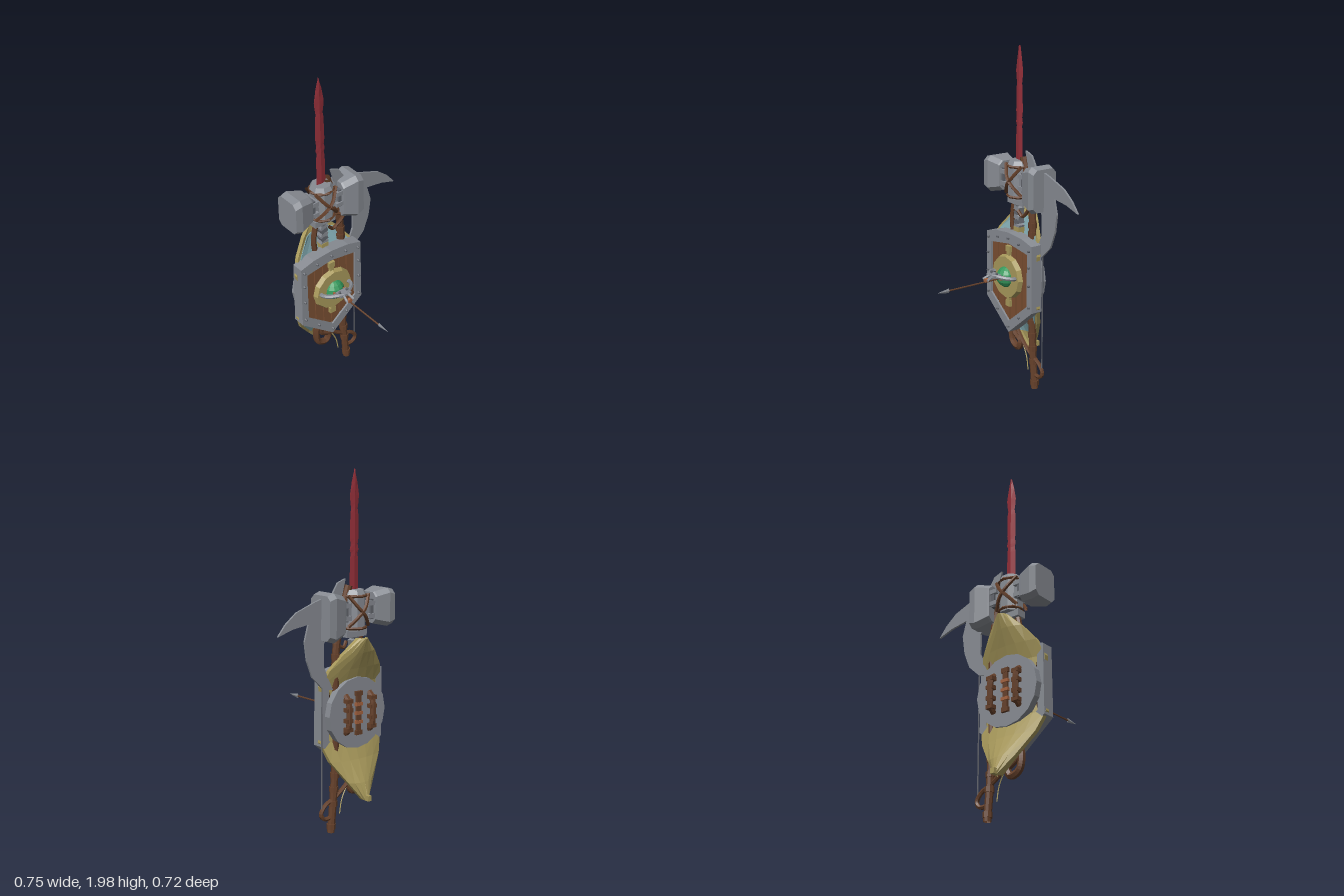
import * as THREE from 'three';

const CX = -0.147, CZ = -0.21;          // main axis of the weapon stack
const V = (x, y, z) => new THREE.Vector3(x, y, z);
const mat = (name, color) => {
  const m = new THREE.MeshStandardMaterial({ color, flatShading: true, side: THREE.DoubleSide });
  m.name = name;
  return m;
};

export function createModel() {
  const root = new THREE.Group();
  const M = {
    steel: mat('steel', 0x888c93), iron: mat('dark iron', 0x62656c), gold: mat('old gold', 0xa99a5c),
    blue: mat('pale blue', 0x80a8af), green: mat('green gem', 0x35985c), red: mat('red blade', 0x96303a),
    leather: mat('leather', 0x65402a), wood: mat('wood', 0x7b4f32), dark: mat('dark wood', 0x3f291c),
    copper: mat('copper', 0xa4623f),
  };
  const add = (name, geo, m, x = 0, y = 0, z = 0, parent = root) => {
    const mesh = new THREE.Mesh(geo, m);
    mesh.name = name;
    mesh.position.set(x, y, z);
    parent.add(mesh);
    return mesh;
  };
  const group = (name) => { const g = new THREE.Group(); g.name = name; root.add(g); return g; };
  const box = (name, m, w, h, d, x, y, z, p) => add(name, new THREE.BoxGeometry(w, h, d), m, x, y, z, p);
  const cyl = (name, m, r0, r1, h, n, x, y, z, p) => add(name, new THREE.CylinderGeometry(r0, r1, h, n), m, x, y, z, p);
  const tube = (name, m, pts, r, p, seg = 24, n = 6) => add(name,
    new THREE.TubeGeometry(new THREE.CatmullRomCurve3(pts.map(a => V(...a))), seg, r, n), m, 0, 0, 0, p);
  const shape = (pts) => new THREE.Shape(pts.map(a => new THREE.Vector2(...a)));
  const slab = (s, depth) => new THREE.ExtrudeGeometry(s, { depth, bevelEnabled: false });

  // closed solid through loops of equal length
  const loft = (loops) => {
    const n = loops[0].length, pos = loops.flat(2), idx = [];
    for (let i = 0; i < loops.length - 1; i++) for (let j = 0; j < n; j++) {
      const a = i * n + j, b = i * n + (j + 1) % n;
      idx.push(a, b, b + n, a, b + n, a + n);
    }
    const e = (loops.length - 1) * n;
    for (let j = 1; j < n - 1; j++) idx.push(0, j + 1, j, e, e + j, e + j + 1);
    const g = new THREE.BufferGeometry();
    g.setAttribute('position', new THREE.Float32BufferAttribute(pos, 3));
    g.setIndex(idx);
    g.computeVertexNormals();
    return g;
  };

  // Sword: diamond-section blade with nicks, then twisted grip
  const sword = group('sword');
  const blade = [[1.34, .03], [1.52, .029], [1.55, .024], [1.57, .031], [1.6, .025], [1.63, .03], [1.76, .028],
    [1.79, .023], [1.82, .028], [1.86, .032], [1.93, .02], [1.998, .001]];
  add('blade', loft(blade.map(([y, w]) => [[CX - w, y, CZ], [CX, y, CZ + .006], [CX + w, y, CZ], [CX, y, CZ - .006]])),
    M.red, 0, 0, 0, sword);
  for (let i = 0; i < 7; i++) {
    const t = box('gripTwist', i % 2 ? M.iron : M.steel, .045, .028, .04, CX, .97 + i * .026, CZ, sword);
    t.rotation.z = i % 2 ? .3 : -.3;
  }
  box('pommelCollar', M.gold, .045, .04, .045, CX, .945, CZ, sword);
  box('guard', M.steel, .14, .04, .06, CX, 1.12, CZ, sword);

  // Hammer: octagonal core, arms and two flared heads
  const hammer = group('hammer');
  const core = cyl('core', M.steel, .066, .066, .2, 8, CX, 1.235, CZ, hammer);
  core.rotation.y = Math.PI / 8;
  const cap = cyl('coreCap', M.steel, .055, .069, .025, 8, CX, 1.345, CZ, hammer);
  cap.rotation.y = Math.PI / 8;
  box('arms', M.steel, .24, .09, .075, CX, 1.245, CZ, hammer);
  for (const s of [-1, 1]) for (const k of [-1, 1]) {
    box('armCollar', M.iron, .02, .11, .1, CX + s * .09, 1.245, CZ, hammer);
    box('armRib', M.steel, .06, .025, .025, CX + s * .09, 1.245 + .035 * k, CZ + .045, hammer);
    box('armRib', M.steel, .06, .025, .025, CX + s * .09, 1.245 + .035 * k, CZ - .045, hammer);
  }
  const headLoop = (x, cy, hy, hz, c) => [[-hz, -hy + c], [-hz, hy - c], [-hz + c, hy], [hz - c, hy],
    [hz, hy - c], [hz, -hy + c], [hz - c, -hy], [-hz + c, -hy]].map(([z, y]) => [x, cy + y, CZ + z]);
  const head = (s, cy, h) => {
    const rows = [[.105, .8, .062], [.115, .84, .065], [.19, 1, .085], [.231, .9, .08]]
      .map(([d, k, w]) => headLoop(CX + s * d, cy, h * k, w, .025));
    add('hammerHead', loft(s > 0 ? rows.map(r => r.reverse()) : rows), M.steel, 0, 0, 0, hammer);
  };
  head(-1, 1.25, .106);
  head(1, 1.222, .134);

  // Leather lashings around the hammer core
  const lash = group('lashings');
  for (const f of [-1, 1]) for (const s of [-1, 1]) {
    tube('crossStrap', M.leather, [[CX - s * .07, 1.16, CZ + f * .04], [CX - s * .02, 1.22, CZ + f * .073],
      [CX + s * .02, 1.26, CZ + f * .073], [CX + s * .07, 1.33, CZ + f * .04]], .01, lash, 12, 5);
  }
  for (const y of [1.15, 1.325]) {
    const r = add('strapRing', new THREE.TorusGeometry(.067, .009, 5, 8), M.leather, CX, y, CZ, lash);
    r.rotation.x = Math.PI / 2;
  }
  tube('looseStrap', M.leather, [[-.06, 1.13, CZ + .02], [-.02, 1.11, CZ + .03], [-.09, 1.04, CZ + .02],
    [-.12, 1.07, CZ + .03]], .01, lash);
  tube('sideHaft', M.leather, [[-.2, .9, CZ], [-.21, 1.0, CZ], [-.19, 1.12, CZ]], .016, lash);

  // Axe: hooked crescent blade on a bent leather haft
  const axe = group('axe');
  const axeOutline = [[-.085, 1.42], [-.03, 1.4], [.005, 1.345], [.127, 1.31], [.25, 1.265], [.32, 1.21], [.37, 1.15],
    [.275, 1.18], [.17, 1.195], [.195, 1.105], [.18, 1.0], [.143, .905], [.07, .835], [0, .82], [.04, .9],
    [.065, .96], [.065, 1.08], [.02, 1.14], [-.06, 1.17], [-.06, 1.33]];
  add('axeBlade', slab(shape(axeOutline), .012), M.steel, 0, 0, CZ - .006, axe);
  tube('haft', M.leather, [[-.11, 1.38, CZ], [-.07, 1.25, CZ], [-.025, 1.05, CZ], [-.02, .7, CZ], [-.02, .4, CZ],
    [-.008, .2, CZ], [.008, .015, CZ]], .021, axe, 30, 8);
  for (const [x, y] of [[-.022, .95], [-.023, 1.0], [-.02, .42], [-.018, .34], [-.012, .26], [-.006, .18], [.006, .05]])
    cyl('haftWrap', M.leather, .026, .026, .03, 8, x, y, CZ, axe);

  // Heater shield: thick riveted frame around planks
  const shield = group('heaterShield');
  const outer = [[-.21, .905], [-.12, .93], [0, .94], [.12, .93], [.21, .905], [.215, .51], [0, .335], [-.215, .51]];
  const inner = [[-.17, .85], [0, .875], [.17, .85], [.17, .54], [0, .405], [-.17, .54]];
  const frame = shape(outer);
  frame.holes.push(new THREE.Path(inner.map(a => new THREE.Vector2(...a))));
  add('shieldFrame', slab(frame, .073), M.steel, CX, 0, -.208, shield);
  add('shieldBacking', slab(shape(inner), .04), M.dark, CX, 0, -.205, shield);
  const topY = x => .875 - .025 * Math.abs(x) / .17, botY = x => .405 + .135 * Math.abs(x) / .17;
  for (let i = 0; i < 6; i++) {
    const a = -.17 + i * .0567 + .003, b = a + .0507;
    add('plank', slab(shape([[a, botY(a)], [b, botY(b)], [b, topY(b)], [a, topY(a)]]), .02), M.wood, CX, 0, -.166, shield);
  }
  const rivets = [[0, .907], [.1, .895], [.19, .875], [.193, .78], [.193, .67], [.193, .54], [.1, .453], [0, .37]];
  for (const [x, y] of rivets) for (const s of x ? [-1, 1] : [1])
    cyl('rivet', M.iron, .006, .01, .014, 6, CX + s * x, y, -.13, shield).rotation.x = Math.PI / 2;

  // Gold boss with gem
  const boss = group('boss');
  cyl('bossPlate', M.gold, .122, .132, .028, 12, CX, .68, -.124, boss).rotation.x = Math.PI / 2;
  for (const s of [-1, 1]) {
    box('bossTab', M.gold, .04, .035, .02, CX, .68 + s * .165, -.138, boss);
    box('bossTabStem', M.gold, .025, .06, .02, CX, .68 + s * .14, -.138, boss);
  }
  add('gem', new THREE.SphereGeometry(.063, 12, 8), M.green, CX, .68, -.125, boss);

  // Claw mount and spear pointing forward
  const spear = group('spear');
  for (const s of [-1, 1]) {
    tube('clawArm', M.steel, [[CX + s * .095, .69, -.13], [CX + s * .098, .695, -.09], [CX + s * .075, .7, -.055],
      [CX + s * .04, .705, -.03], [CX + s * .01, .705, -.015]], .012, spear, 16, 6);
    tube('prong', M.steel, [[CX + s * .012, .7, -.05], [CX + s * .015, .705, -.01], [CX + s * .022, .69, .03]], .008, spear, 8, 5);
    cyl('clawBolt', M.iron, .008, .008, .02, 6, CX + s * .026, .715, -.03, spear);
    box('clawFoot', M.copper, .012, .02, .03, CX + s * .035, .69, -.06, spear);
  }
  box('clawPlate', M.steel, .075, .014, .05, CX, .705, -.03, spear);
  const ring = cyl('spearRing', M.copper, .014, .014, .018, 8, CX, .685, .024, spear);
  ring.rotation.x = Math.PI / 2;
  cyl('spearShaft', M.leather, .005, .005, .4, 6, CX, .677, .085, spear).rotation.x = Math.PI / 2;
  const tip = cyl('spearHead', M.steel, 0, .014, .08, 4, CX, .677, .32, spear);
  tip.rotation.x = Math.PI / 2;
  tip.scale.x = .4;

  // Winged back shield: rows are [y, half width, z]
  const wings = group('wingedShield');
  const wing = (name, rows, k, thick, dz, m) => {
    const g = new THREE.BoxGeometry(2, 1, 1, 6, rows.length - 1, 1), p = g.attributes.position;
    for (let i = 0; i < p.count; i++) {
      const u = p.getX(i), r = rows[Math.round((p.getY(i) + .5) * (rows.length - 1))];
      p.setXYZ(i, CX + u * Math.max(r[1] - k, .004), r[0], r[2] + .03 * u * u + dz + p.getZ(i) * thick);
    }
    g.computeVertexNormals();
    add(name, g, m, 0, 0, 0, wings);
  };
  const lower = [[.2, .014, -.335], [.3, .09, -.302], [.42, .175, -.25], [.53, .217, -.213], [.62, .2, -.21]];
  const upper = [[.74, .2, -.21], [.84, .215, -.213], [.93, .18, -.245], [1.02, .11, -.28], [1.1, .03, -.308]];
  wing('lowerWing', lower, 0, .025, 0, M.gold);
  wing('upperWing', upper, 0, .025, 0, M.gold);
  wing('lowerPanel', lower.slice(1), .02, .006, .013, M.blue);
  wing('upperPanel', upper.slice(0, 4), .02, .006, .013, M.blue);
  box('wingTip', M.gold, .024, .03, .04, CX, .215, -.338, wings);

  // Round back plate with two grips
  const back = group('backPlate');
  cyl('plate', M.steel, .2, .2, .04, 16, CX, .68, -.23, back).rotation.x = Math.PI / 2;
  for (const s of [-1, 1]) {
    const x = CX + s * .085;
    tube('grip', M.leather, [[x, .575, -.245], [x, .6, -.272], [x, .68, -.28], [x, .76, -.272], [x, .785, -.245]], .017, back, 14, 6);
    for (const y of [.6, .65, .71, .76]) box('gripWrap', M.leather, .042, .022, .035, x, y, -.272, back);
  }
  box('centreStrap', M.leather, .03, .2, .015, CX, .68, -.256, back);
  for (const y of [.63, .68, .73]) box('strapBuckle', M.copper, .045, .018, .02, CX, y, -.258, back);
  for (const y of [.57, .79]) box('strapEnd', M.leather, .045, .025, .02, CX, y, -.256, back);

  // Hanging whip, cord and string at the bottom
  const whip = group('whip');
  tube('whipLoop', M.leather, [[-.19, .42, CZ], [-.215, .32, CZ], [-.2, .245, CZ], [-.145, .225, CZ], [-.125, .27, CZ],
    [-.18, .31, CZ], [-.2, .38, CZ]], .02, whip, 32, 6);
  tube('whipLash', M.leather, [[-.16, .34, CZ], [-.1, .27, CZ], [-.02, .21, CZ], [.05, .175, CZ], [.078, .13, CZ],
    [.055, .1, CZ], [.01, .1, CZ]], .012, whip, 32, 6);
  tube('thinCord', M.gold, [[-.11, .27, CZ], [-.07, .19, CZ], [-.055, .11, CZ]], .004, whip, 10, 4);
  cyl('string', M.iron, .004, .004, .72, 5, .073, .49, CZ, whip);

  return root;
}
